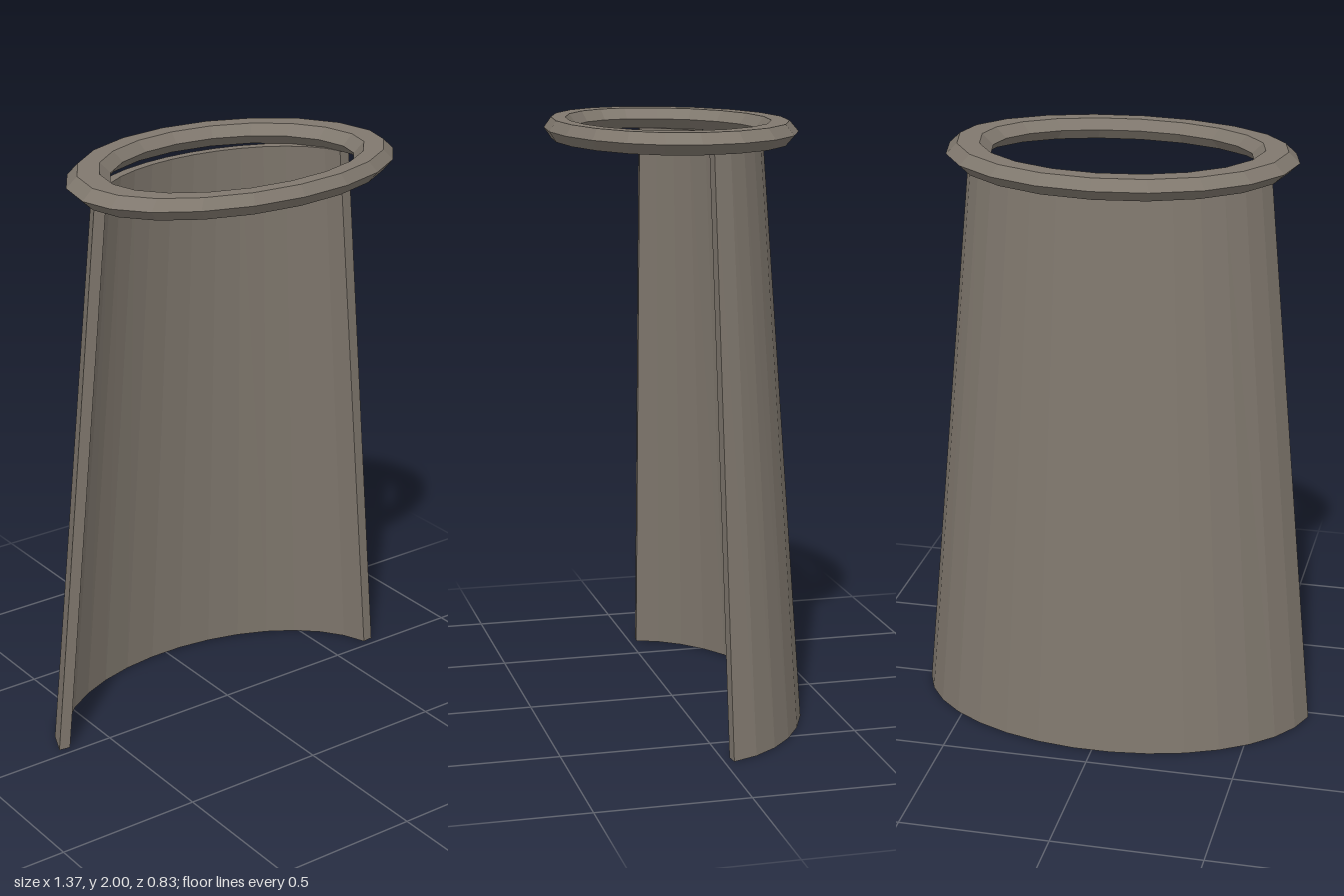
import * as THREE from 'three';

const CENTRE_Z = 0.05;

// Neck ring: six-sided tube, rounder at the back than at the front
function collarGeometry() {
  const geo = new THREE.TorusGeometry(0.51, 0.075, 6, 20).rotateX(-Math.PI / 2);
  const p = geo.attributes.position;
  for (let i = 0; i < p.count; i++) {
    const z = p.getZ(i);
    p.setY(i, 1.965 + p.getY(i) * (0.035 / (0.075 * Math.sin(Math.PI / 3))));
    p.setZ(i, CENTRE_Z + z * (z > 0 ? 0.622 : 0.777));
  }
  geo.computeVertexNormals();
  return geo;
}

// Thick curved sheet: a four-cornered section swept along a 160 degree elliptical arc
function capeGeometry() {
  const segments = 15;
  const span = THREE.MathUtils.degToRad(160);
  // [x radius, z radius, height]: outer bottom, outer top, inner top, inner bottom
  const corners = [
    [0.695, 0.47, 0],
    [0.513, 0.333, 1.93],
    [0.472, 0.302, 1.93],
    [0.655, 0.44, 0],
  ];
  const positions = [];
  const index = [];
  for (let i = 0; i <= segments; i++) {
    const a = (i / segments - 0.5) * span;
    for (const [rx, rz, y] of corners) {
      positions.push(rx * Math.sin(a), y, CENTRE_Z - rz * Math.cos(a));
    }
  }
  for (let i = 0; i < segments; i++) {
    for (let j = 0; j < 4; j++) {
      const k = (j + 1) % 4;
      const a = i * 4 + j, b = i * 4 + k, c = b + 4, d = a + 4;
      index.push(a, b, c, a, c, d);
    }
  }
  // End edges
  const e = segments * 4;
  index.push(0, 2, 1, 0, 3, 2, e, e + 1, e + 2, e, e + 2, e + 3);
  const geo = new THREE.BufferGeometry();
  geo.setAttribute('position', new THREE.Float32BufferAttribute(positions, 3));
  geo.setIndex(index);
  geo.computeVertexNormals();
  return geo;
}

export function createModel() {
  const group = new THREE.Group();
  group.name = 'cape';
  const cloth = new THREE.MeshStandardMaterial({ color: 0x80786e, flatShading: true });
  const add = (name, geometry) => {
    const mesh = new THREE.Mesh(geometry, cloth);
    mesh.name = name;
    group.add(mesh);
  };
  add('collarRing', collarGeometry());
  add('capeSheet', capeGeometry());
  return group;
}
